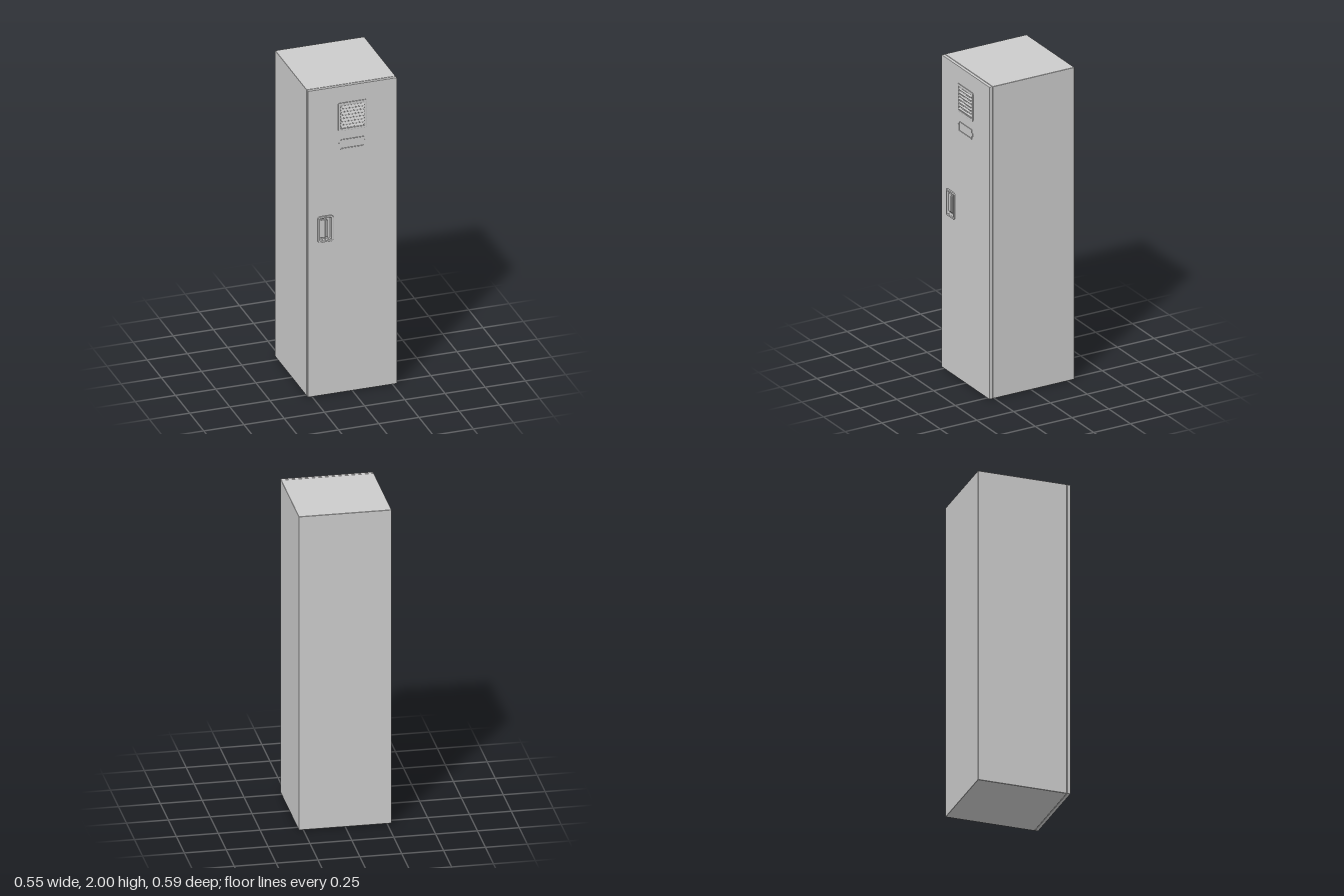
import * as THREE from 'three';
import { RoundedBoxGeometry } from 'three/addons/geometries/RoundedBoxGeometry.js';

const mat = new THREE.MeshStandardMaterial({ color: 0xcccccc, flatShading: true });

function add(group, name, geometry, x = 0, y = 0, z = 0) {
  const mesh = new THREE.Mesh(geometry, mat);
  mesh.name = name;
  mesh.position.set(x, y, z);
  group.add(mesh);
  return mesh;
}

// Rounded rectangle centred on (x, y), written into a Shape or Path
function roundRect(path, x, y, w, h, r) {
  const l = x - w / 2, b = y - h / 2, R = x + w / 2, t = y + h / 2;
  path.moveTo(l + r, b);
  path.lineTo(R - r, b).quadraticCurveTo(R, b, R, b + r);
  path.lineTo(R, t - r).quadraticCurveTo(R, t, R - r, t);
  path.lineTo(l + r, t).quadraticCurveTo(l, t, l, t - r);
  path.lineTo(l, b + r).quadraticCurveTo(l, b, l + r, b);
  return path;
}

// Flat frame with a rounded opening and softened edges
function frame(w, h, border, r, depth, bevel) {
  const shape = roundRect(new THREE.Shape(), 0, 0, w - 2 * bevel, h - 2 * bevel, r);
  shape.holes.push(roundRect(new THREE.Path(), 0, 0, w - 2 * border + 2 * bevel, h - 2 * border + 2 * bevel, r * 0.7));
  return new THREE.ExtrudeGeometry(shape, {
    depth: depth - bevel, bevelEnabled: true, bevelThickness: bevel, bevelSize: bevel, bevelSegments: 2, curveSegments: 5,
  });
}

export function createModel() {
  const locker = new THREE.Group();
  locker.name = 'locker';
  const W = 0.554, H = 2, doorFront = 0.283;
  const handleX = -0.168, handleY = 1.085;

  // Cabinet, with a slightly inset spacer behind the door
  add(locker, 'cabinet', new RoundedBoxGeometry(W, H, 0.556, 2, 0.003), 0, H / 2, -0.017);
  add(locker, 'doorGap', new THREE.BoxGeometry(W - 0.012, H - 0.012, 0.008), 0, H / 2, 0.262);

  // Door panel with the handle opening cut through it
  const panel = roundRect(new THREE.Shape(), 0, H / 2, W - 0.004, H - 0.004, 0.002);
  panel.holes.push(roundRect(new THREE.Path(), handleX, handleY, 0.074, 0.146, 0.01));
  add(locker, 'door', new THREE.ExtrudeGeometry(panel, {
    depth: 0.016, bevelEnabled: true, bevelThickness: 0.002, bevelSize: 0.002, bevelSegments: 2, curveSegments: 4,
  }), 0, 0, 0.265);

  // Louvred vent
  const vent = new THREE.Group();
  vent.name = 'vent';
  vent.position.set(0, 1.8, doorFront);
  add(vent, 'ventFrame', frame(0.178, 0.182, 0.014, 0.008, 0.004, 0.002));
  for (let i = 0; i < 7; i++) {
    const slat = add(vent, 'ventSlat', new RoundedBoxGeometry(0.146, 0.013, 0.003, 1, 0.001), 0, -0.063 + i * 0.021, 0.002);
    slat.rotation.x = -0.4;
  }
  locker.add(vent);

  // Name card holder
  const card = new THREE.Group();
  card.name = 'cardHolder';
  card.position.set(0, 1.62, doorFront);
  add(card, 'cardFrame', frame(0.15, 0.064, 0.007, 0.006, 0.004, 0.0015));
  for (const side of [-1, 1]) {
    add(card, 'cardTab', new RoundedBoxGeometry(0.014, 0.022, 0.004, 1, 0.001), side * 0.08, 0, 0.001);
  }
  locker.add(card);

  // Recessed handle: raised rim, sunken cup and a lift latch on its outer side
  const handle = new THREE.Group();
  handle.name = 'handle';
  handle.position.set(handleX, handleY, doorFront);
  add(handle, 'handleRim', frame(0.096, 0.17, 0.012, 0.014, 0.009, 0.003));
  add(handle, 'handleCup', new THREE.BoxGeometry(0.078, 0.15, 0.003), 0, 0, -0.0155);
  add(handle, 'latchPlate', new RoundedBoxGeometry(0.05, 0.118, 0.012, 2, 0.004), -0.011, 0, -0.009);
  add(handle, 'latchGrip', new RoundedBoxGeometry(0.013, 0.11, 0.016, 2, 0.004), 0.007, 0, -0.004);
  locker.add(handle);

  return locker;
}
